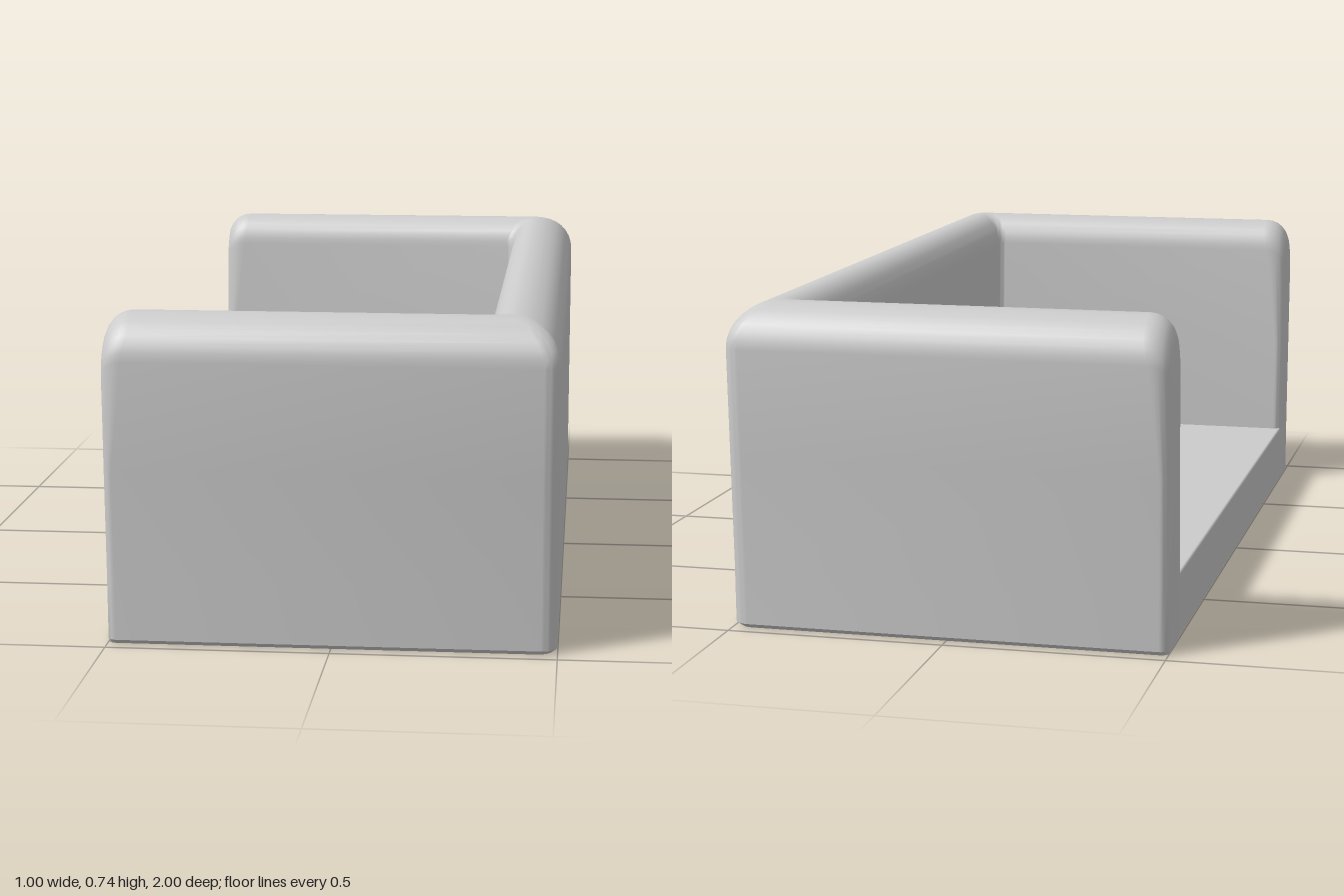
import * as THREE from 'three';
import { toCreasedNormals } from 'three/addons/utils/BufferGeometryUtils.js';
import { RoundedBoxGeometry } from 'three/addons/geometries/RoundedBoxGeometry.js';

const THICK = 0.165, HEIGHT = 0.742;

// Wall cross-section: d runs from the inner face (0) to the outer face (THICK)
function wallProfile() {
  const pts = [[0.01, 0], [0, 0.01], [0, 0.15], [0, 0.4]];
  const arc = (rx, ry, from, to) => {
    for (let i = 0; i <= 8; i++) {
      const a = from + (to - from) * i / 8;
      pts.push([0.065 + rx * Math.cos(a), HEIGHT - ry + ry * Math.sin(a)]);
    }
  };
  arc(0.065, 0.08, Math.PI, Math.PI / 2);
  pts.pop();
  arc(0.1, 0.1, Math.PI / 2, 0);
  pts.push([THICK, 0.4], [THICK, 0.15], [THICK, 0.01], [THICK - 0.01, 0]);
  return pts;
}

// Stations along one half of the U plan, from arm end to the middle of the back
function halfStations() {
  const list = [];
  // rounded arm end
  for (let i = 0; i <= 6; i++) {
    const a = (1 - i / 6) * Math.PI / 2;
    const along = 1 - Math.sin(a), inset = 1 - Math.cos(a);
    list.push((d, y) => {
      const top = THREE.MathUtils.smoothstep(y, 0.5, HEIGHT);
      const dd = d + (THICK / 2 - d) * 0.25 * inset;
      return [-0.5 + (0.02 + 0.04 * top) * along, y - 0.06 * top * inset, 0.81 + dd];
    });
  }
  // rounded corner between arm and back
  for (let i = 0; i <= 8; i++) {
    const a = (1 - i / 8) * Math.PI / 2;
    list.push((d, y) => {
      const r = 0.02 + 0.1 * d;
      return [0.335 + d - r + r * Math.cos(a), y, 0.81 + d - r + r * Math.sin(a)];
    });
  }
  return list;
}

// Arms and back swept as one shell, with the arms leaning slightly outward
function shellGeometry() {
  const profile = wallProfile(), half = halfStations();
  const n = profile.length, m = half.length * 2;
  const pos = [], index = [];
  for (let i = 0; i < m; i++) {
    const mirrored = i >= half.length;
    const station = half[mirrored ? m - 1 - i : i];
    for (const [d, y] of profile) {
      const p = station(d, y);
      const lean = 1 + 0.0256 * THREE.MathUtils.clamp((p[1] - 0.1) / 0.55, 0, 1);
      pos.push(p[0], p[1], p[2] * lean * (mirrored ? -1 : 1));
    }
  }
  for (let i = 0; i < m - 1; i++) {
    for (let j = 0; j < n; j++) {
      const k = (j + 1) % n, a = i * n + j, b = i * n + k;
      index.push(a, b, a + n, b, b + n, a + n);
    }
  }
  // flat faces of the arm ends
  const c = m * n, last = (m - 1) * n;
  pos.push(-0.5, 0.4, 0.905, -0.5, 0.4, -0.905);
  for (let j = 0; j < n; j++) {
    const k = (j + 1) % n;
    index.push(c, k, j, c + 1, last + j, last + k);
  }
  const geo = new THREE.BufferGeometry();
  geo.setAttribute('position', new THREE.Float32BufferAttribute(pos, 3));
  geo.setIndex(index);
  return toCreasedNormals(geo, 0.6);
}

export function createModel() {
  const group = new THREE.Group();
  group.name = 'sofa';
  const material = new THREE.MeshStandardMaterial({ color: 0xcccccc });

  const shell = new THREE.Mesh(shellGeometry(), material);
  shell.name = 'armsAndBack';
  group.add(shell);

  // Seat slab, flush with the arm ends and tucked into the walls
  const seat = new THREE.Mesh(new RoundedBoxGeometry(0.92, 0.15, 1.84, 3, 0.006), material);
  seat.name = 'seat';
  seat.position.set(-0.04, 0.075, 0);
  group.add(seat);

  return group;
}
